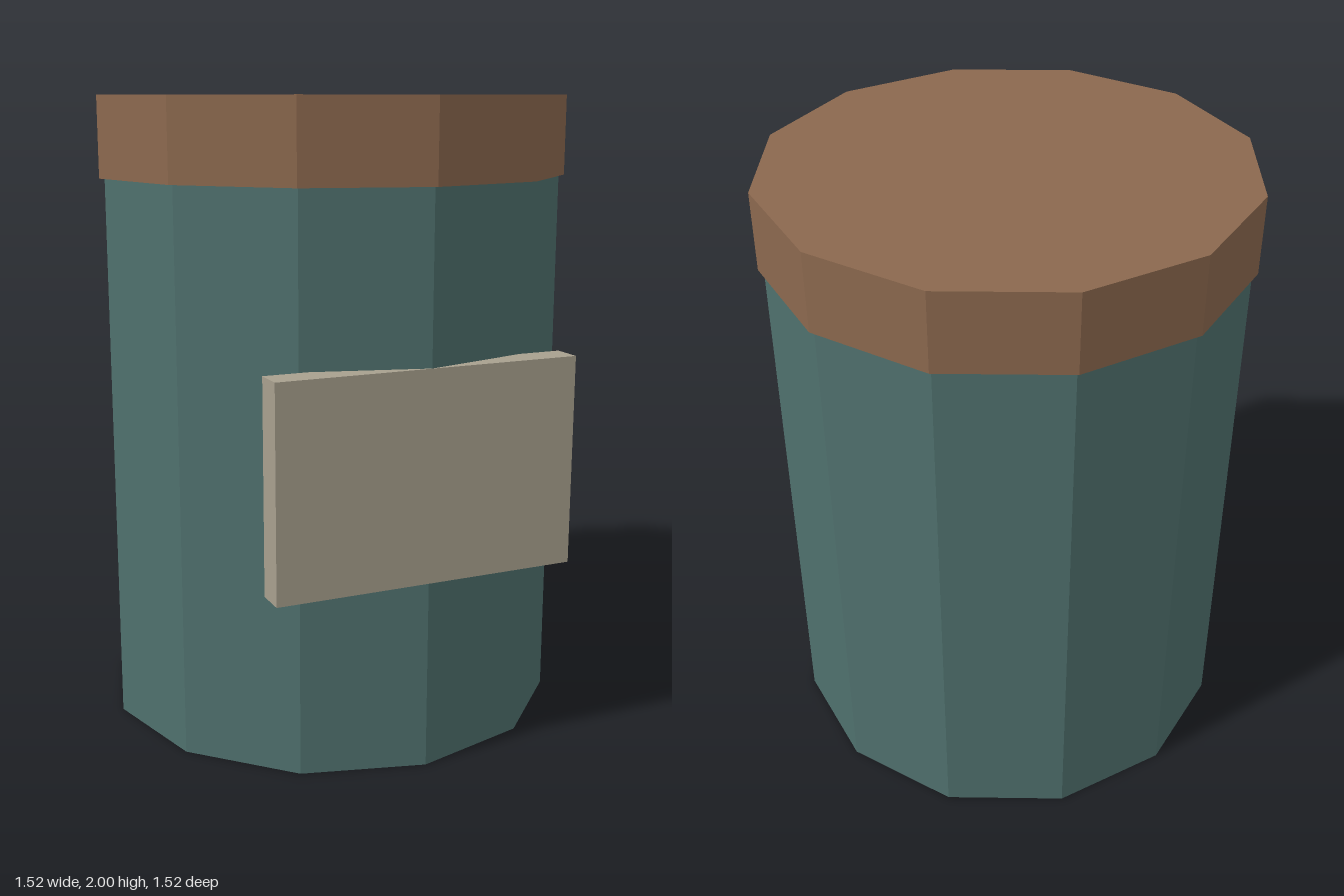
import * as THREE from 'three';

const paint = (name, color) => {
  const material = new THREE.MeshStandardMaterial({ color, flatShading: true });
  material.name = name;
  return material;
};

export function createModel() {
  const group = new THREE.Group();
  group.name = 'canister';
  const teal = paint('teal', 0x4f706d);
  const brown = paint('brown', 0x8b684e);
  const beige = paint('beige', 0xa8a08e);

  // Adds a part standing on the given height
  const add = (name, geometry, material, height, bottom, z = 0) => {
    const mesh = new THREE.Mesh(geometry, material);
    mesh.name = name;
    mesh.position.set(0, bottom + height / 2, z);
    group.add(mesh);
  };

  // Twelve-sided body and slightly wider lid, each with a corner facing front
  add('body', new THREE.CylinderGeometry(0.745, 0.745, 1.76, 12), teal, 1.76, 0);
  add('lid', new THREE.CylinderGeometry(0.762, 0.762, 0.25, 12), brown, 0.25, 1.75);

  // Flat label plate set into the front corner
  add('label', new THREE.BoxGeometry(0.97, 0.65, 0.095), beige, 0.65, 0.585, 0.6995);

  return group;
}
